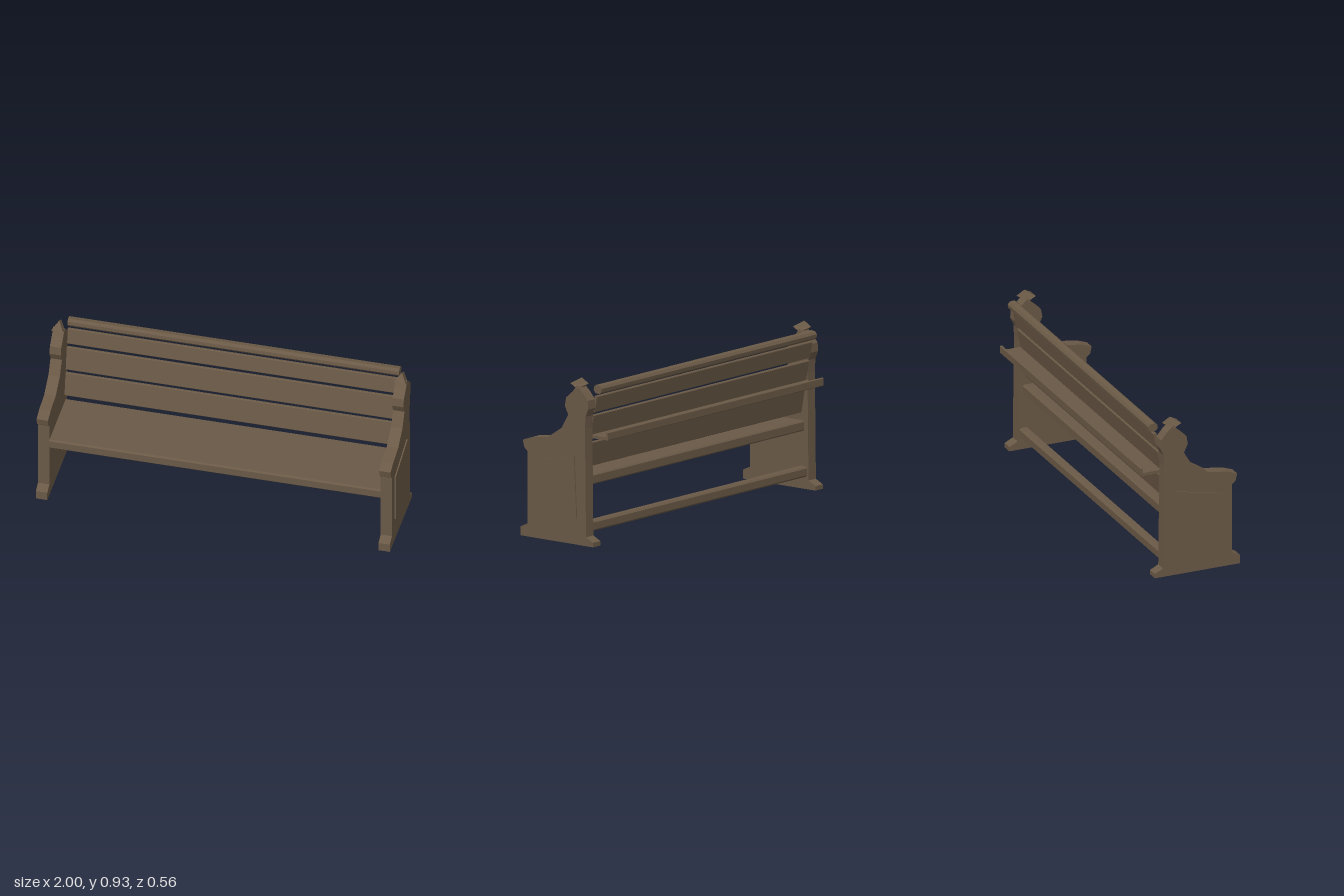
import * as THREE from 'three';

const wood = new THREE.MeshStandardMaterial({ color: 0x6a5946 });
wood.name = 'brown wood';

// Extrude a (z, y) outline along x, centred on x = 0
function slab(name, points, width) {
  const shape = new THREE.Shape(points.map(([z, y]) => new THREE.Vector2(z, y)));
  const geo = new THREE.ExtrudeGeometry(shape, { depth: width, bevelEnabled: false });
  geo.translate(0, 0, -width / 2);
  geo.rotateY(-Math.PI / 2);
  const mesh = new THREE.Mesh(geo, wood);
  mesh.name = name;
  return mesh;
}

// Long bar with chamfered edges; tilt leans its top backwards
function bar(name, z, y, depth, height, chamfer, tilt = 0) {
  const a = depth / 2, b = height / 2, c = chamfer;
  const mesh = slab(name, [
    [-a + c, -b], [a - c, -b], [a, -b + c], [a, b - c],
    [a - c, b], [-a + c, b], [-a, b - c], [-a, -b + c],
  ], 1.86);
  mesh.position.set(0, y, z);
  mesh.rotation.x = -tilt;
  return mesh;
}

const END_PROFILE = [
  [0.283, 0], [0.283, 0.05], [0.235, 0.072], [0.235, 0.475], [0.258, 0.495],
  [0.267, 0.535], [0.205, 0.557], [0.092, 0.573], [-0.004, 0.636], [-0.051, 0.715],
  [-0.028, 0.763], [-0.036, 0.81], [-0.083, 0.85], [-0.112, 0.887], [-0.152, 0.852],
  [-0.188, 0.81], [-0.192, 0.763], [-0.173, 0.72], [-0.169, 0.65], [-0.176, 0.05],
  [-0.225, 0.025], [-0.225, 0],
];
const PLATE_PROFILE = [[0.174, 0.145], [0.174, 0.436], [-0.097, 0.493], [-0.114, 0.145]];

// Small gabled cap, its ridge sloping down to the back
function endCap() {
  const w = 0.034;
  const p = [
    [-w, 0.894, -0.068], [w, 0.894, -0.068], [0, 0.928, -0.122],
    [-w, 0.869, -0.115], [w, 0.869, -0.115], [0, 0.9, -0.169],
  ];
  const faces = [0, 1, 2, 4, 3, 5, 1, 4, 5, 1, 5, 2, 3, 0, 2, 3, 2, 5, 0, 3, 4, 0, 4, 1];
  const geo = new THREE.BufferGeometry();
  geo.setAttribute('position', new THREE.Float32BufferAttribute(faces.flatMap((i) => p[i]), 3));
  geo.computeVertexNormals();
  const mesh = new THREE.Mesh(geo, wood);
  mesh.name = 'endCap';
  return mesh;
}

export function createModel() {
  const bench = new THREE.Group();
  bench.name = 'bench';

  // Two end panels with raised plate and cap
  for (const side of [1, -1]) {
    const end = new THREE.Group();
    end.name = side > 0 ? 'leftEnd' : 'rightEnd';
    const panel = slab('endPanel', END_PROFILE, 0.064);
    const plate = slab('raisedPlate', PLATE_PROFILE, 0.008);
    plate.position.x = side * 0.035;
    end.add(panel, plate, endCap());
    end.position.x = side * 0.961;
    bench.add(end);
  }

  // Seat and lower stretcher
  bench.add(bar('seat', 0.047, 0.351, 0.384, 0.058, 0.008));
  bench.add(bar('stretcher', -0.138, 0.097, 0.054, 0.058, 0.01));

  // Leaning backrest boards: [z, y, height]
  const tilt = 0.18;
  for (const [z, y, h] of [[-0.13, 0.493, 0.142], [-0.158, 0.65, 0.142], [-0.186, 0.782, 0.095]]) {
    bench.add(bar('backBoard', z, y, 0.018, h, 0.004, tilt));
  }

  // Top rail
  bench.add(bar('topRail', -0.207, 0.866, 0.054, 0.046, 0.013, 0.14));

  // Book shelf behind the backrest, with a lip
  bench.add(bar('shelf', -0.217, 0.599, 0.125, 0.017, 0.003));
  bench.add(bar('shelfLip', -0.273, 0.613, 0.014, 0.046, 0.004));

  return bench;
}
